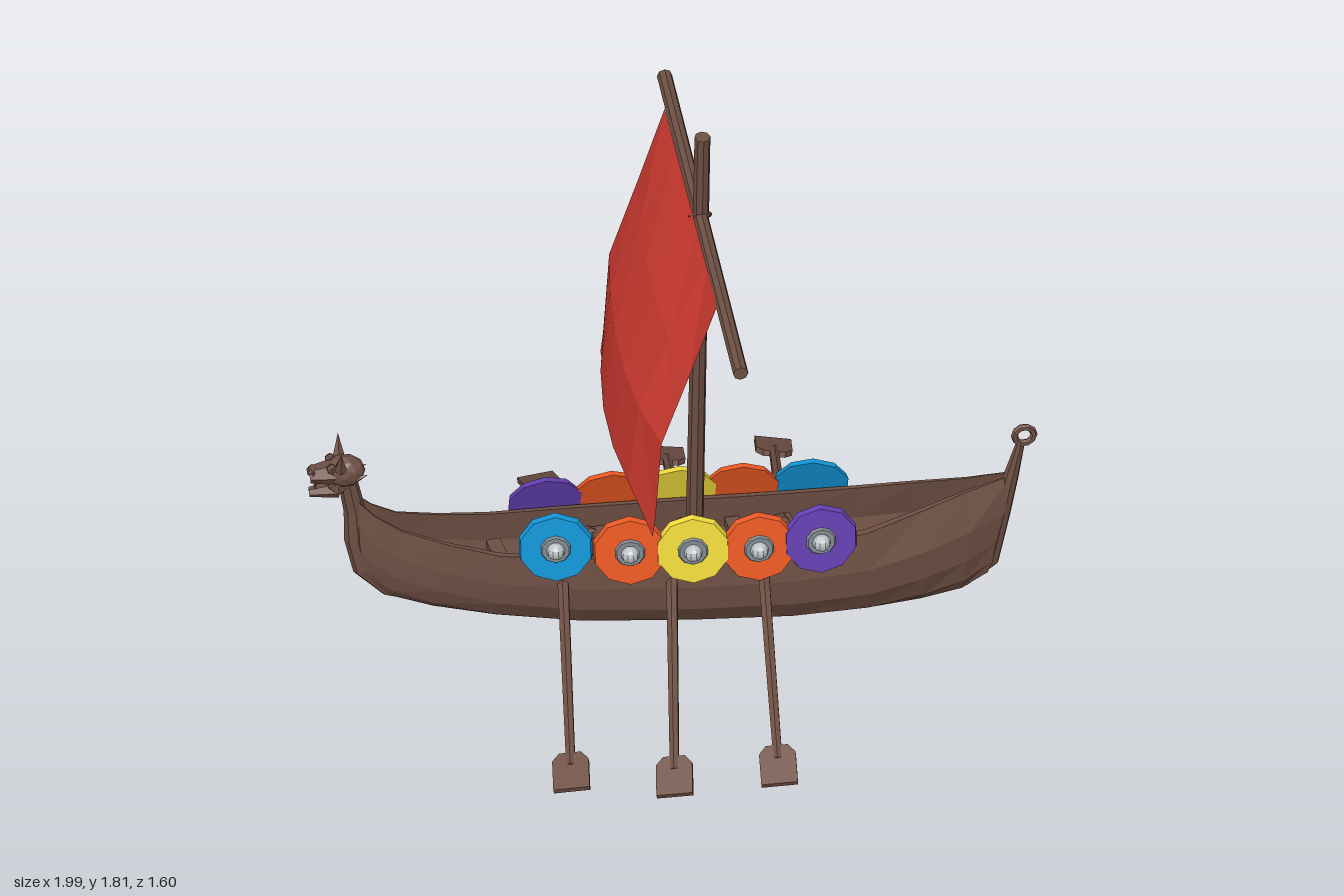
import * as THREE from 'three';

const mat = (color, side = THREE.FrontSide) =>
  new THREE.MeshStandardMaterial({ color, flatShading: true, side });
const wood = mat(0x6f5044);
const hullWood = mat(0x6f5044, THREE.DoubleSide);
const cloth = mat(0xd53c32, THREE.DoubleSide);
const steel = mat(0xbcc2c6), iron = mat(0x7c878e);
const paint = {
  blue: mat(0x1296d8), orange: mat(0xee5a24), yellow: mat(0xf2dc3c), purple: mat(0x6640b4),
};
const V = (x, y, z) => new THREE.Vector3(x, y, z);
const UP = V(0, 1, 0);

function add(parent, name, geo, material, pos) {
  const m = new THREE.Mesh(geo, material);
  m.name = name;
  if (pos) m.position.copy(pos);
  parent.add(m);
  return m;
}

// Round bar between two points
function beam(parent, name, a, b, r0, r1 = r0, sides = 8) {
  const d = b.clone().sub(a);
  const m = add(parent, name, new THREE.CylinderGeometry(r1, r0, d.length(), sides), wood,
    a.clone().add(b).multiplyScalar(0.5));
  m.quaternion.setFromUnitVectors(UP, d.normalize());
  return m;
}

// Surface through rows of points; closed joins the last column to the first
function loft(rows, closed) {
  const n = rows[0].length, pos = [], idx = [];
  rows.forEach(r => r.forEach(p => pos.push(p.x, p.y, p.z)));
  for (let i = 0; i < rows.length - 1; i++)
    for (let j = 0; j < (closed ? n : n - 1); j++) {
      const k = (j + 1) % n, a = i * n + j, b = i * n + k, c = a + n, d = b + n;
      idx.push(a, b, c, b, d, c);
    }
  const g = new THREE.BufferGeometry();
  g.setAttribute('position', new THREE.Float32BufferAttribute(pos, 3));
  g.setIndex(idx);
  g.computeVertexNormals();
  return g;
}

// Tapered limb following a curve, with a radius for each control point
function limb(parent, name, pts, radii, depth = 1) {
  const rows = pts.map((p, i) => {
    const t = pts[Math.min(i + 1, pts.length - 1)].clone().sub(pts[Math.max(i - 1, 0)]).normalize();
    const side = V(-t.y, t.x, 0).normalize();
    return Array.from({ length: 8 }, (_, j) => {
      const a = -j / 8 * Math.PI * 2;
      return p.clone().addScaledVector(side, Math.cos(a) * radii[i])
        .add(V(0, 0, Math.sin(a) * radii[i] * depth));
    });
  });
  return add(parent, name, loft(rows, true), hullWood);
}

function buildHull(g) {
  // rim x, keel x, rim y, keel y, far z, near z, rim width factor
  const stations = [
    [-0.86, -0.875, 0.56, 0.38, -0.1, -0.06, 0.9],
    [-0.81, -0.84, 0.51, 0.29, -0.115, -0.04, 0.8],
    [-0.74, -0.77, 0.465, 0.225, -0.13, -0.02, 0.82],
    [-0.62, -0.65, 0.43, 0.185, -0.15, 0.015, 0.87],
    [-0.48, -0.48, 0.4, 0.145, -0.172, 0.05, 0.9],
    [-0.25, -0.25, 0.39, 0.115, -0.18, 0.09, 0.9],
    [0.05, 0.05, 0.385, 0.1, -0.172, 0.122, 0.9],
    [0.32, 0.32, 0.39, 0.09, -0.15, 0.14, 0.88],
    [0.52, 0.53, 0.41, 0.095, -0.12, 0.143, 0.82],
    [0.68, 0.68, 0.455, 0.12, -0.065, 0.138, 0.66],
    [0.81, 0.79, 0.495, 0.15, 0, 0.122, 0.5],
    [0.93, 0.86, 0.53, 0.2, 0.06, 0.1, 0.4],
  ];
  // outer skin from near rim round to far rim, then the inner skin back
  const outer = [[1, 0.64], [0.93, 0.36], [0.68, 0.14], [0.3, 0.02]];
  const mirror = list => [...list].reverse().map(([z, y]) => [-z, y]);
  const rows = stations.map(([xr, xk, yr, yk, z0, z1, f]) => {
    const inner = [[-f + 0.1, 1], [-0.86, 0.64], [-0.7, 0.36], [-0.35, 0.24]];
    const loop = [[f + 0.06, 1], ...outer, [0, 0], ...mirror(outer), [-f, 1],
      ...inner, ...mirror(inner)];
    return loop.map(([z, y]) => V(xk + (xr - xk) * y, yk + (yr - yk) * y,
      (z0 + z1) / 2 + z * (z1 - z0) / 2));
  });
  add(g, 'hull', loft(rows, true), hullWood);

  // Rowing benches
  [[-0.46, -0.14, 0.02], [-0.31, -0.15, 0.05], [-0.17, -0.15, 0.07], [0.2, -0.13, 0.1],
    [0.34, -0.12, 0.1], [0.48, -0.09, 0.1], [0.63, -0.03, 0.09]].forEach(([x, a, b]) => {
    add(g, 'bench', new THREE.BoxGeometry(0.04, 0.025, b - a), wood, V(x, 0.31, (a + b) / 2))
      .rotation.y = 0.1;
  });

  // Keel ends rising into the stem and stern posts
  limb(g, 'stemPost', [V(-0.64, 0.2, -0.065), V(-0.77, 0.245, -0.075), V(-0.835, 0.32, -0.08),
    V(-0.855, 0.42, -0.08), V(-0.862, 0.52, -0.078), V(-0.885, 0.64, -0.075)],
  [0.018, 0.025, 0.033, 0.035, 0.03, 0.026], 0.8);
  limb(g, 'sternPost', [V(0.68, 0.135, 0.04), V(0.8, 0.175, 0.06), V(0.872, 0.24, 0.07),
    V(0.9, 0.38, 0.075), V(0.925, 0.52, 0.082), V(0.952, 0.64, 0.088)],
  [0.015, 0.022, 0.024, 0.023, 0.022, 0.012], 0.9);
  add(g, 'sternRing', new THREE.TorusGeometry(0.027, 0.01, 6, 10), wood, V(0.961, 0.662, 0.09));
}

function buildHead(g) {
  const h = new THREE.Group();
  h.name = 'figurehead';
  h.position.set(-0.905, 0.65, -0.078);
  h.rotation.y = -0.08;
  g.add(h);
  add(h, 'skull', new THREE.IcosahedronGeometry(0.05, 1), wood, V(0.015, 0.005, 0))
    .scale.set(1.15, 0.95, 0.85);
  const snout = add(h, 'snout', new THREE.CylinderGeometry(0.024, 0.038, 0.07, 6), wood, V(-0.045, 0.0, 0));
  snout.rotation.z = Math.PI / 2 + 0.1;
  add(h, 'nose', new THREE.IcosahedronGeometry(0.018, 0), wood, V(-0.072, 0.008, 0)).scale.z = 1.4;
  const jaw = add(h, 'lowerJaw', new THREE.CylinderGeometry(0.014, 0.026, 0.08, 6), wood, V(-0.042, -0.058, 0));
  jaw.rotation.z = Math.PI / 2 + 0.1;
  add(h, 'jawHinge', new THREE.IcosahedronGeometry(0.034, 0), wood, V(-0.002, -0.038, 0));
  for (const s of [-1, 1]) {
    const ear = add(h, 'ear', new THREE.ConeGeometry(0.019, 0.07, 5), wood, V(0.002, 0.062, s * 0.04));
    ear.rotation.x = s * 0.35;
    add(h, 'brow', new THREE.IcosahedronGeometry(0.016, 0), wood, V(-0.022, 0.03, s * 0.025));
    const fang = add(h, 'fang', new THREE.ConeGeometry(0.007, 0.028, 4), wood, V(-0.066, -0.03, s * 0.014));
    fang.rotation.z = Math.PI;
    const crest = add(h, 'cheekSpike', new THREE.ConeGeometry(0.014, 0.05, 4), wood, V(0.055, -0.005, s * 0.025));
    crest.rotation.z = -1.2;
  }
}

function buildRig(g) {
  beam(g, 'mast', V(0.065, 0.15, -0.021), V(0.065, 1.815, 0.127), 0.025, 0.022);
  beam(g, 'yard', V(0.055, 1.502, 0.795), V(0.07, 1.558, -0.508), 0.021, 0.021);
  add(g, 'yardLashing', new THREE.TorusGeometry(0.026, 0.008, 5, 8), wood, V(0.063, 1.53, 0.1)).rotation.x = 0.9;
  // Sail: height, edge x, belly depth, near z, far z
  const rows = [[1, 0.04, 0.0], [0.7, -0.035, 0.035], [0.41, -0.11, 0.045],
    [0.08, -0.125, 0.06], [0, -0.132, 0.012]];
  const belly = [0, 0.75, 1, 0.95, 0.6, 0];
  add(g, 'sail', loft(rows.map(([v, x, d]) => belly.map((b, j) => {
    const u = j / 5, z0 = 0.47 + 0.035 * v, z1 = -0.365 + 0.035 * v;
    return V(x - d * b, THREE.MathUtils.lerp(0.735 + 0.785 * v, 0.75 + 0.83 * v, u), z0 + (z1 - z0) * u);
  }))), cloth);
}

// Round shield with a metal boss, facing +z before it is turned
function shield(g, color, x, y, z, side, tilt, yaw) {
  const s = new THREE.Group();
  s.name = 'shield';
  s.position.set(x, y, z);
  s.rotation.set(-side * tilt, side > 0 ? yaw : Math.PI + yaw, 0);
  g.add(s);
  const disc = (name, r0, r1, h, m, dz) =>
    add(s, name, new THREE.CylinderGeometry(r1, r0, h, 10), m, V(0, 0, dz)).rotation.x = Math.PI / 2;
  disc('shieldBoard', 0.105, 0.1, 0.018, paint[color], 0);
  disc('shieldCollar', 0.043, 0.038, 0.008, iron, 0.012);
  add(s, 'shieldBoss', new THREE.SphereGeometry(0.025, 10, 8), steel, V(0, 0, 0.019));
}

function oar(g, inner, tip) {
  const o = new THREE.Group();
  o.name = 'oar';
  o.position.copy(inner);
  const d = tip.clone().sub(inner), len = d.length();
  o.quaternion.setFromUnitVectors(UP, d.normalize());
  g.add(o);
  add(o, 'oarShaft', new THREE.CylinderGeometry(0.014, 0.017, len - 0.08, 6), wood, V(0, (len - 0.08) / 2, 0));
  const blade = new THREE.BoxGeometry(0.1, 0.12, 0.016, 1, 2, 1), p = blade.attributes.position;
  // narrow the shoulder next to the shaft
  for (let i = 0; i < p.count; i++) {
    if (p.getY(i) < -0.01) p.setX(i, p.getX(i) * 0.6);
    else if (p.getY(i) < 0.01) p.setY(i, -0.035);
  }
  add(o, 'oarBlade', blade, wood, V(0, len - 0.06, 0));
}

export function createModel() {
  const g = new THREE.Group();
  g.name = 'longship';
  buildHull(g);
  buildHead(g);
  buildRig(g);

  [['blue', -0.33, 0.425, 0.065, -0.16], ['orange', -0.13, 0.41, 0.095, -0.13],
    ['yellow', 0.04, 0.41, 0.117, -0.1], ['orange', 0.22, 0.405, 0.13, -0.05],
    ['purple', 0.39, 0.415, 0.137, -0.02]].forEach(([c, x, y, z, yaw]) => shield(g, c, x, y, z, 1, 0.12, yaw));
  [['purple', -0.32, 0.405, -0.178, 0], ['orange', -0.14, 0.405, -0.175, -0.04],
    ['yellow', 0.05, 0.405, -0.165, -0.08], ['orange', 0.22, 0.405, -0.15, -0.1],
    ['blue', 0.41, 0.41, -0.13, -0.14]].forEach(([c, x, y, z, yaw]) => shield(g, c, x, y, z, -1, 0.32, yaw));

  [[V(-0.305, 0.32, 0.03), V(-0.4, 0.095, 0.725)], [V(-0.01, 0.32, 0.07), V(-0.115, 0.04, 0.725)],
    [V(0.24, 0.32, 0.08), V(0.175, 0.04, 0.725)],
    [V(-0.2, 0.32, -0.12), V(-0.237, 0.02, -0.8)], [V(0.05, 0.32, -0.11), V(0.115, 0.095, -0.765)],
    [V(0.325, 0.32, -0.08), V(0.412, 0.095, -0.755)]].forEach(([a, b]) => oar(g, a, b));
  return g;
}
